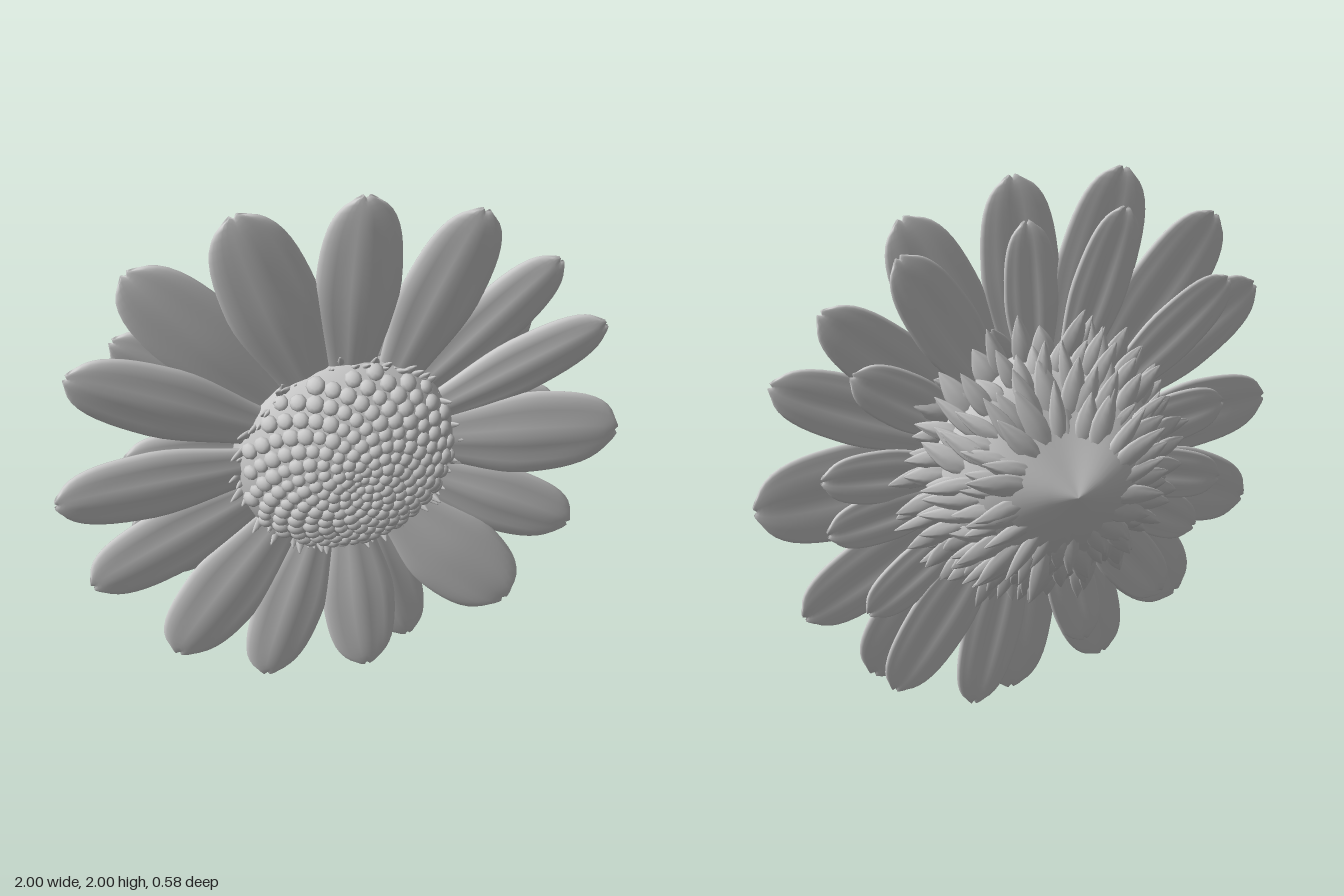
import * as THREE from 'three';
import { mergeVertices, mergeGeometries } from 'three/addons/utils/BufferGeometryUtils.js';

const material = new THREE.MeshStandardMaterial({ color: 0xcccccc, roughness: 0.8 });
const rad = THREE.MathUtils.degToRad;

let seed = 7;
const rand = (a, b) => {
  seed = (seed * 16807) % 2147483647;
  return a + (b - a) * (seed / 2147483647);
};

// Half width of a blade along its length, 0 at both ends, 1 at the widest point
const petalWidth = t => (0.5 + 0.5 * THREE.MathUtils.smoothstep(t, 0, 0.58)) *
  Math.sqrt(Math.min(1, t * 12)) * Math.sqrt(Math.max(0, 1 - Math.pow(t, 6.5)));
const bractWidth = t => Math.pow(Math.max(0, Math.sin(Math.PI * Math.pow(t, 0.75))), 0.85);

// A closed blade from base [angle, radius, z] to tip [angle, radius, z], shaped from a sphere
function blade(base, tip, o) {
  const at = ([a, r, z]) => new THREE.Vector3(r * Math.cos(rad(a)), r * Math.sin(rad(a)), z);
  const b = at(base), d = at(tip).sub(b);
  const flat = Math.hypot(d.x, d.y), length = d.length();
  let g = new THREE.SphereGeometry(1, o.around, o.along);
  g.deleteAttribute('uv');
  g.deleteAttribute('normal');
  g = mergeVertices(g, 1e-5);
  const p = g.attributes.position;
  for (let i = 0; i < p.count; i++) {
    const ring = Math.sqrt(Math.max(1e-9, 1 - p.getY(i) ** 2));
    const u = THREE.MathUtils.clamp(p.getX(i) / ring, -1, 1);
    const s = p.getZ(i) / ring;
    const t = (1 + p.getY(i)) / 2;
    const w = o.profile(t);
    const mid = Math.sin(Math.PI * t);
    const groove = o.groove * mid * Math.cos(u * 7.5) * (1 - u * u);
    const notch = o.notch * Math.pow(t, 10) * Math.cos(u * 6);
    // Full, rounded edges rather than a thin rim
    const body = Math.sign(s) * Math.pow(Math.abs(s), 0.65) * Math.pow(w, 0.7);
    p.setXYZ(i,
      u * w * o.width / 2,
      t * length - notch,
      body * o.thick / 2 + groove + o.arch * mid - o.cup * u * u * w);
  }
  g.rotateX(Math.atan2(d.z, flat));
  g.rotateZ(Math.atan2(d.y, d.x) - Math.PI / 2);
  g.translate(b.x, b.y, b.z);
  g.computeVertexNormals();
  return g;
}

function add(group, name, geometry) {
  const mesh = new THREE.Mesh(geometry, material);
  mesh.name = name;
  group.add(mesh);
}

// Front surface of the flower centre
const DISC = 0.39;
const domeZ = r =>
  0.09 + 0.192 * Math.pow(Math.max(0, 1 - (r / DISC) ** 2.1), 0.72) - 0.01 * Math.exp(-((r / 0.07) ** 2));

function lathe(points, segments) {
  return new THREE.LatheGeometry(points.map(([r, z]) => new THREE.Vector2(r, z)), segments)
    .rotateX(Math.PI / 2);
}

// Domed centre covered in a spiral of rounded florets
function createCentre() {
  const group = new THREE.Group();
  group.name = 'centre';
  const profile = [[0.36, 0.0]];
  for (let i = 16; i >= 0; i--) {
    const r = DISC * Math.sin((i / 16) * Math.PI / 2);
    profile.push([r, domeZ(r) - 0.004]);
  }
  add(group, 'dome', lathe(profile, 48));

  const florets = [], n = 215;
  const up = new THREE.Vector3(0, 0, 1);
  for (let i = 1; i <= n; i++) {
    const r = 0.372 * Math.pow(i / n, 0.62), a = i * 2.39996;
    const size = 0.6 * Math.sqrt(3.9 * r * r / i) * rand(0.88, 1.12);
    const slope = (domeZ(r + 0.004) - domeZ(r - 0.004)) / 0.008;
    const normal = new THREE.Vector3(-slope * Math.cos(a), -slope * Math.sin(a), 1).normalize();
    const g = new THREE.SphereGeometry(1, 9, 6);
    g.rotateX(Math.PI / 2);
    g.applyMatrix4(new THREE.Matrix4().compose(
      new THREE.Vector3(r * Math.cos(a), r * Math.sin(a), domeZ(r) - 0.006),
      new THREE.Quaternion().setFromUnitVectors(up, normal),
      new THREE.Vector3(size, size, size * 0.7)));
    florets.push(g);
  }
  add(group, 'florets', mergeGeometries(florets));

  // Ragged fringe where the centre meets the petals
  const fringe = [];
  for (let i = 0; i < 90; i++) {
    const a = i * 4 + rand(-2, 2);
    fringe.push(blade([a, 0.34, 0.07], [a + rand(-4, 4), rand(0.38, 0.435), rand(0.09, 0.15)],
      { profile: bractWidth, width: 0.04, thick: 0.02, groove: 0, notch: 0, arch: 0, cup: 0, around: 6, along: 6 }));
  }
  add(group, 'fringe', mergeGeometries(fringe));
  return group;
}

// Long petals: [tip angle, tip radius, width, base angle, layer (0 is the front)]
const LONG_PETALS = [
  [87, 1.0, 0.29, 88, 1], [64, 1.0, 0.29, 57, 1], [41, 0.98, 0.24, 38, 2], [24, 0.99, 0.24, 22, 1],
  [-2.5, 0.99, 0.36, 3, 0], [-29, 0.98, 0.28, -27, 1], [-52, 1.0, 0.35, -55, 0], [-75, 1.0, 0.24, -74, 2],
  [-86, 1.0, 0.28, -88, 0], [-109, 1.0, 0.28, -110, 0], [-131, 0.99, 0.33, -136, 0], [-158, 0.99, 0.3, -162, 1],
  [178, 1.0, 0.28, 176, 0], [151, 1.04, 0.27, 150, 1], [130.5, 1.06, 0.3, 136, 2], [110, 1.05, 0.31, 113, 1],
];
const LAYERS = [[0.085, 0.145], [0.08, 0.12], [0.055, 0.06]];

// Short petals tucked behind: [angle, radius, width]
const SHORT_PETALS = [
  [59, 0.93, 0.23], [143, 0.94, 0.22], [-55, 0.99, 0.26], [173, 0.76, 0.2], [-164, 0.78, 0.2],
  [-148, 0.78, 0.2], [111, 0.93, 0.22], [88, 0.86, 0.2], [33, 0.78, 0.2], [5, 0.78, 0.2],
  [-10, 0.78, 0.2], [-36, 0.8, 0.2], [-104, 0.82, 0.2], [-128, 0.84, 0.23],
];

function createPetals() {
  const group = new THREE.Group();
  group.name = 'petals';
  const shape = { profile: petalWidth, thick: 0.042, groove: 0.005, notch: 0.007, arch: 0.006, cup: 0.01, around: 28, along: 24 };
  for (const [angle, r, width, baseAngle, layer] of LONG_PETALS) {
    const [z0, z1] = LAYERS[layer];
    add(group, 'longPetal', blade([baseAngle, 0.26, z0], [angle, r, z1], { ...shape, width }));
  }
  for (const [angle, r, width] of SHORT_PETALS)
    add(group, 'shortPetal', blade([angle, 0.27, 0.03], [angle, r, rand(0.035, 0.055)], { ...shape, width, thick: 0.036 }));
  return group;
}

// The back slopes more steeply above, and slightly more below, than at the sides
const lean = (angle, r) => {
  const s = Math.sin(angle);
  return (0.057 + 0.03 * s) * s * s * Math.sin(Math.PI * Math.min(1, r / 0.56));
};

// Cone-shaped back with overlapping rows of pointed bracts
function createCalyx() {
  const group = new THREE.Group();
  group.name = 'calyx';
  const cone = lathe([
    [0, -0.29], [0.03, -0.285], [0.1, -0.271], [0.19, -0.25], [0.28, -0.215], [0.35, -0.165],
    [0.4, -0.1], [0.42, -0.03], [0.4, 0.04], [0.36, 0.1],
  ], 48);
  const p = cone.attributes.position;
  for (let i = 0; i < p.count; i++) {
    const x = p.getX(i), y = p.getY(i), z = p.getZ(i);
    if (z < 0) p.setZ(i, z + lean(Math.atan2(y, x), Math.hypot(x, y)));
  }
  cone.computeVertexNormals();
  add(group, 'backCone', cone);

  // [count, base radius, base z, tip radius, tip z, width]
  const rows = [
    [22, 0.15, -0.24, 0.36, -0.208, 0.08],
    [28, 0.22, -0.222, 0.42, -0.16, 0.078],
    [32, 0.29, -0.19, 0.465, -0.105, 0.075],
    [34, 0.34, -0.145, 0.5, -0.05, 0.075],
    [36, 0.37, -0.08, 0.54, -0.005, 0.075],
    [32, 0.38, -0.01, 0.52, 0.025, 0.08],
  ];
  rows.forEach(([count, r0, z0, r1, z1, width], row) => {
    const bracts = [];
    for (let i = 0; i < count; i++) {
      const a = (i + row * 0.5) * 360 / count + rand(-3, 3);
      const tipR = r1 + rand(-0.05, 0.045);
      const tipZ = z1 + rand(-0.02, 0.015) + lean(rad(a), tipR);
      bracts.push(blade([a, r0, z0 + lean(rad(a), r0)], [a + rand(-8, 8), tipR, tipZ], {
        profile: bractWidth, width: width * rand(0.75, 1.2), thick: 0.018,
        groove: -0.006, notch: 0, arch: -0.005, cup: -0.006, around: 12, along: 9,
      }));
    }
    add(group, 'bractRow', mergeGeometries(bracts));
  });
  return group;
}

export function createModel() {
  seed = 7;
  const flower = new THREE.Group();
  flower.name = 'flower';
  flower.add(createCentre(), createPetals(), createCalyx());
  flower.position.y = 1;
  const model = new THREE.Group();
  model.name = 'daisy';
  model.add(flower);
  return model;
}
